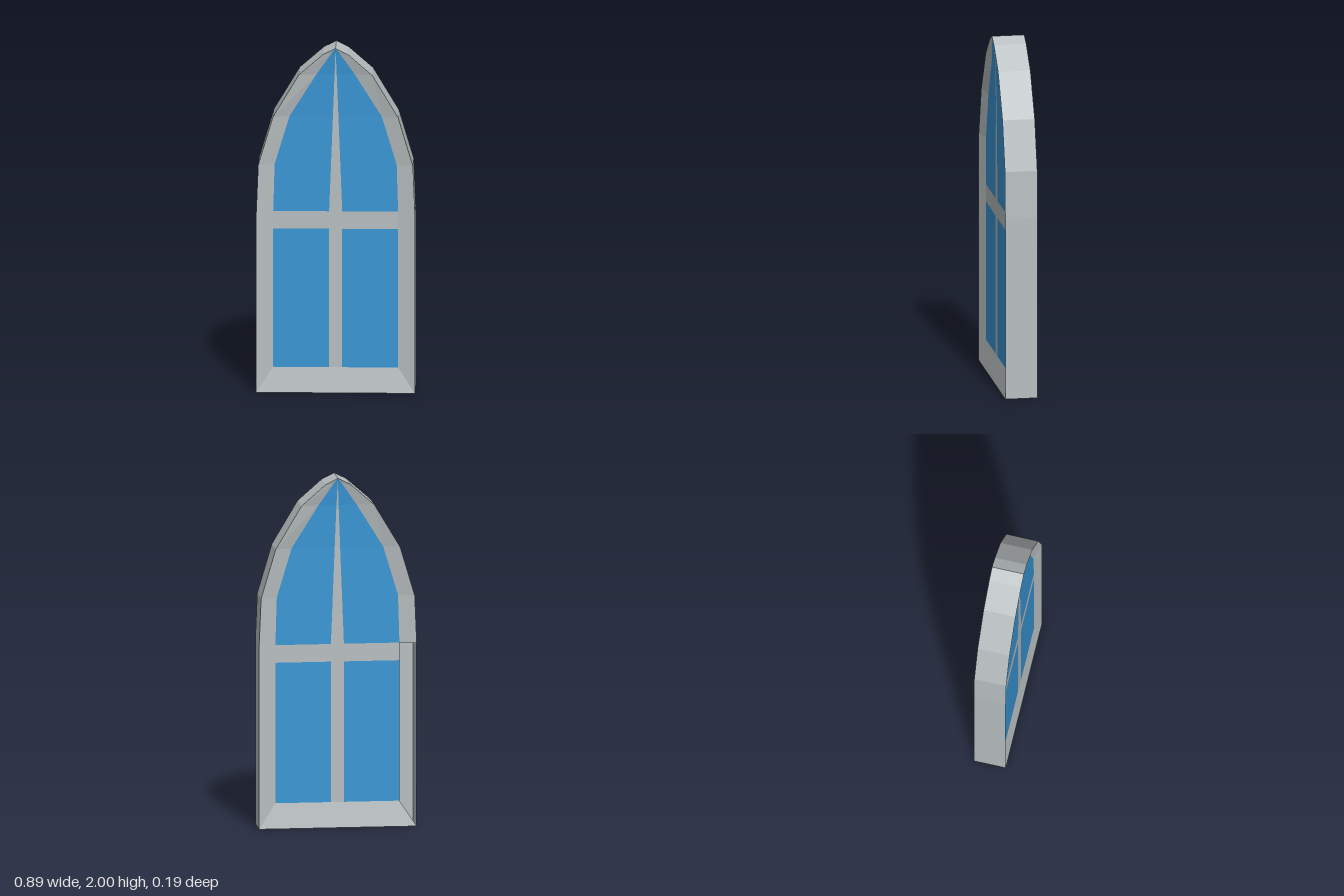
import * as THREE from 'three';

const HALF = 0.0925; // half the window's depth

// Cross-sections up one half: outer edge, glass edge and recess of the glass
const ROWS = [
  { yo: 0, xo: 0.447, yi: 0.143, xi: 0.352, r: 0.026 },
  { yo: 0.947, xo: 0.447, yi: 0.947, xi: 0.352, r: 0.026 },
  { yo: 1.048, xo: 0.447, yi: 1.048, xi: 0.352, r: 0.026 },
  { yo: 1.32, xo: 0.436, yi: 1.32, xi: 0.344, r: 0.026 },
  { yo: 1.6, xo: 0.353, yi: 1.6, xi: 0.26, r: 0.026 },
  { yo: 1.845, xo: 0.207, yi: 1.845, xi: 0.108, r: 0.02 },
  { yo: 1.965, xo: 0.07, yi: 1.965, xi: 0.026, r: 0.007 },
  { yo: 2, xo: 0, yi: 2, xi: 0, r: 0 },
];
const BAR = 1; // the row pair filled by the cross bar
// the upright bar tapers to the apex above the cross bar
for (const p of ROWS) p.xm = 0.037 * Math.min(1, (2 - p.yi) / 0.952);

// Flat-shaded geometry from quads of corner points
function quadMesh(name, quads, material) {
  const pos = [];
  for (const [a, b, c, d] of quads) pos.push(...a, ...b, ...c, ...a, ...c, ...d);
  const geo = new THREE.BufferGeometry();
  geo.setAttribute('position', new THREE.Float32BufferAttribute(pos, 3));
  geo.computeVertexNormals();
  const mesh = new THREE.Mesh(geo, material);
  mesh.name = name;
  return mesh;
}

export function createModel() {
  const stone = new THREE.MeshStandardMaterial({ color: 0xb8bec0, side: THREE.DoubleSide });
  stone.name = 'grey frame';
  const glass = new THREE.MeshStandardMaterial({ color: 0x3996d6, side: THREE.DoubleSide });
  glass.name = 'blue glass';

  const model = new THREE.Group();
  model.name = 'archedWindow';
  const sides = [], bevels = [], bars = [], panes = [];

  // front and back (f), left and right (s)
  for (const f of [1, -1]) {
    for (const s of [1, -1]) {
      const put = (list, q) => list.push(f * s > 0 ? q : [...q].reverse());
      const outer = (p) => [s * p.xo, p.yo, f * HALF];
      const inner = (p, x) => [s * x, p.yi, f * (HALF - p.r)];
      for (let i = 0; i < ROWS.length - 1; i++) {
        const a = ROWS[i], b = ROWS[i + 1];
        // the lower jamb bevel is open at the back on the right side
        const open = f < 0 && s < 0 && i <= BAR;
        if (!open) put(bevels, [inner(a, a.xi), outer(a), outer(b), inner(b, b.xi)]);
        put(bars, [inner(a, 0), inner(a, a.xm), inner(b, b.xm), inner(b, 0)]);
        put(i === BAR ? bars : panes,
          [inner(a, a.xm), inner(a, a.xi), inner(b, b.xi), inner(b, b.xm)]);
      }
    }
    // sloping sill
    const p = ROWS[0], zo = f * HALF, zi = f * (HALF - p.r);
    const sill = [[-p.xo, 0, zo], [p.xo, 0, zo], [p.xi, p.yi, zi], [-p.xi, p.yi, zi]];
    bevels.push(f > 0 ? sill : sill.reverse());
  }

  // outer rim of jambs and arch
  for (const s of [1, -1]) {
    for (let i = 0; i < ROWS.length - 1; i++) {
      const a = ROWS[i], b = ROWS[i + 1];
      const q = [[s * a.xo, a.yo, HALF], [s * a.xo, a.yo, -HALF],
        [s * b.xo, b.yo, -HALF], [s * b.xo, b.yo, HALF]];
      sides.push(s > 0 ? q : q.reverse());
    }
  }
  // underside
  const w = ROWS[0].xo;
  sides.push([[-w, 0, -HALF], [w, 0, -HALF], [w, 0, HALF], [-w, 0, HALF]]);

  model.add(
    quadMesh('outerRim', sides, stone),
    quadMesh('frameBevels', bevels, stone),
    quadMesh('glazingBars', bars, stone),
    quadMesh('glassPanes', panes, glass),
  );
  return model;
}
